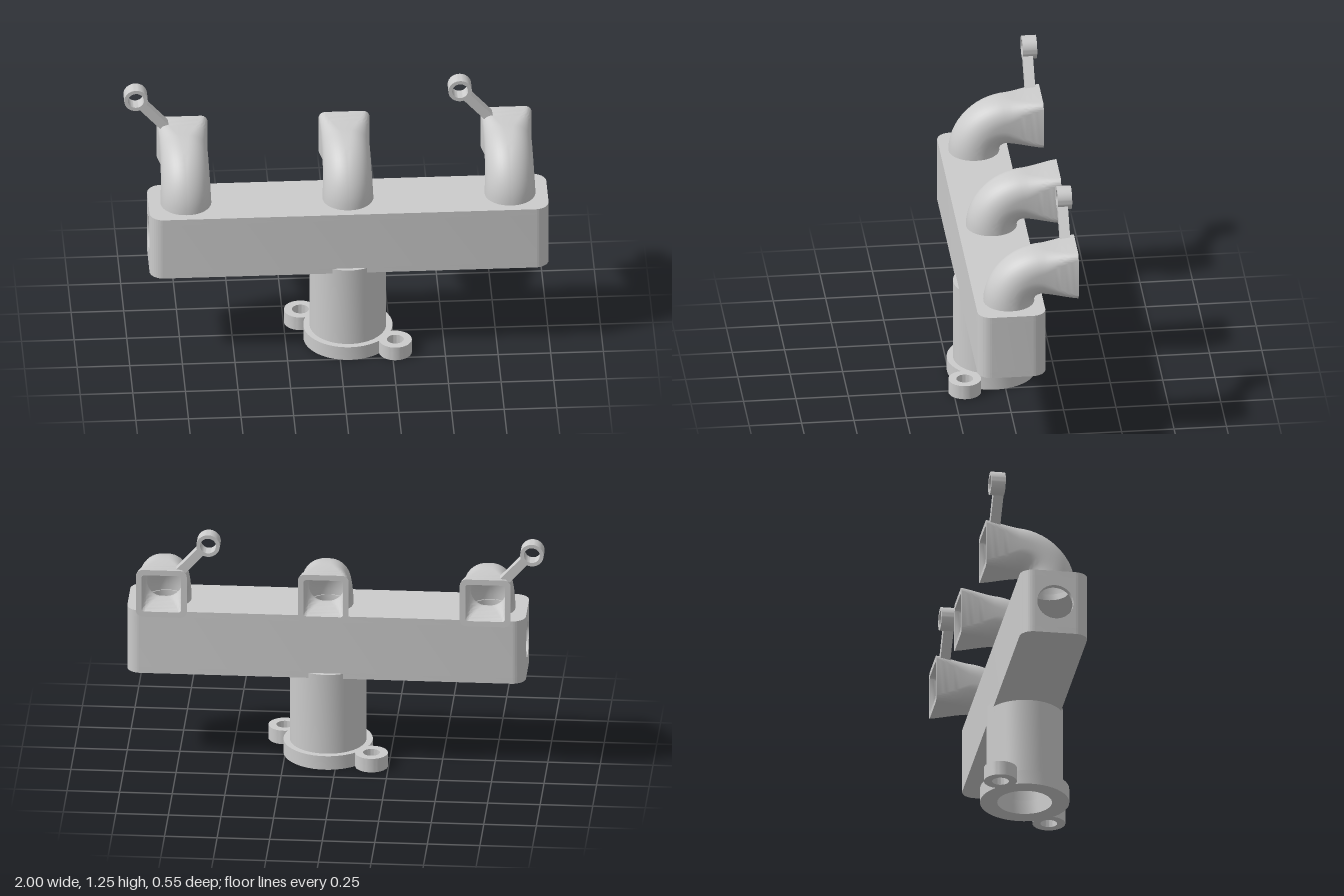
import * as THREE from 'three';
import { toCreasedNormals } from 'three/addons/utils/BufferGeometryUtils.js';

const material = new THREE.MeshStandardMaterial({ color: 0xcccccc, side: THREE.DoubleSide });
const CX = 0.048, CZ = 0.046;            // axis of the pipe and middle of the plenum
const RUNNERS = [-0.722, CX, 0.818];     // x of the three elbows
const BOTTOM = 0.452, TOP = 0.775;       // plenum heights
const WALL = 0.03;

function add(parent, name, geometry, x = 0, y = 0, z = 0) {
  const mesh = new THREE.Mesh(toCreasedNormals(geometry, 0.6), material);
  mesh.name = name;
  mesh.position.set(x, y, z);
  parent.add(mesh);
  return mesh;
}

function circle(r, x = 0, y = 0, Type = THREE.Path) {
  return new Type().absarc(x, y, r, 0, Math.PI * 2, false);
}

function extrude(shape, depth) {
  return new THREE.ExtrudeGeometry(shape, { depth, bevelEnabled: false, curveSegments: 24 });
}

// Extrude a plan upwards
const rise = (shape, height) => extrude(shape, height).rotateX(-Math.PI / 2);

function washer(outer, inner) {
  const s = circle(outer, 0, 0, THREE.Shape);
  s.holes.push(circle(inner));
  return s;
}

// Plenum: hollow box with rounded upright corners and a round port in its -x end
function buildPlenum() {
  const g = new THREE.Group();
  g.name = 'plenum';
  const hx = 0.948, hz = 0.162, r = 0.066, flat = hz - r, H = Math.PI / 2;

  const plan = () => {
    const s = new THREE.Shape();
    s.moveTo(-hx, -flat);
    s.absarc(-hx + r, -flat, r, Math.PI, Math.PI + H, false);
    s.absarc(hx - r, -flat, r, -H, 0, false);
    s.absarc(hx - r, flat, r, 0, H, false);
    s.absarc(-hx + r, flat, r, H, Math.PI, false);
    return s;
  };

  // floor and roof plates, open to the pipe and the elbows
  const floor = plan();
  floor.holes.push(circle(0.13));
  add(g, 'plenumFloor', rise(floor, WALL), CX, BOTTOM, CZ);
  const roof = plan();
  for (const x of RUNNERS) roof.holes.push(circle(0.09, x - CX, 0));
  add(g, 'plenumRoof', rise(roof, WALL), CX, TOP - WALL, CZ);

  // side wall running round the plan, open at the -x end
  const height = TOP - BOTTOM - 2 * WALL;
  const side = plan();
  const ix = hx - WALL, iz = hz - WALL;
  side.lineTo(-ix, flat);
  side.lineTo(-hx + r, iz);
  side.lineTo(ix, iz);
  side.lineTo(ix, -iz);
  side.lineTo(-hx + r, -iz);
  side.lineTo(-ix, -flat);
  add(g, 'plenumWall', rise(side, height), CX, BOTTOM + WALL, CZ);

  // end plate with the port
  const end = new THREE.Shape();
  end.moveTo(-flat, -height / 2);
  end.lineTo(flat, -height / 2);
  end.lineTo(flat, height / 2);
  end.lineTo(-flat, height / 2);
  end.holes.push(circle(0.087));
  add(g, 'endPort', extrude(end, WALL).rotateY(Math.PI / 2), CX - hx, (TOP + BOTTOM) / 2, CZ);
  return g;
}

// Elbow: quarter bend and straight outlet, round at the base and square at the mouth
function elbowGeometry() {
  const R = 0.16, arcSteps = 14, outSteps = 10, Q = 10;
  const stations = [];
  for (let i = 0; i <= arcSteps; i++) {
    const a = (i / arcSteps) * Math.PI / 2;
    stations.push({ y: TOP + R * Math.sin(a), z: CZ - R + R * Math.cos(a), ny: Math.sin(a), nz: Math.cos(a), t: 0.45 * i / arcSteps });
  }
  const z0 = CZ - R, z1 = -0.275;
  for (let i = 1; i <= outSteps; i++) {
    const k = i / outSteps;
    stations.push({ y: TOP + R, z: z0 + (z1 - z0) * k, ny: 1, nz: 0, t: 0.45 + 0.55 * k });
  }

  // section: four corner arcs whose radius shrinks towards the mouth
  const section = (s, wall) => {
    const m = THREE.MathUtils.smoothstep(s.t, 0.15, 1);
    const waist = 0.008 * Math.sin(Math.PI * s.t);
    const h = 0.121 - wall - waist;
    const c = THREE.MathUtils.lerp(h * 0.98, wall ? 0.014 : 0.032, m);
    const ring = [];
    for (let q = 0; q < 4; q++) {
      const mid = (q + 0.5) * Math.PI / 2;
      for (let j = 0; j <= Q; j++) {
        const a = (q + j / Q) * Math.PI / 2;
        const u = Math.sign(Math.cos(mid)) * (h - c) + c * Math.cos(a);
        const v = Math.sign(Math.sin(mid)) * (h - c) + c * Math.sin(a);
        ring.push([u, s.y + v * s.ny, s.z + v * s.nz]);
      }
    }
    return ring;
  };

  // outside to the mouth, over the rim, and back down the inside
  const rings = [
    ...stations.map((s) => section(s, 0)),
    ...stations.slice().reverse().map((s) => section(s, 0.027)),
  ];
  const n = rings[0].length, index = [];
  for (let i = 0; i < rings.length - 1; i++) {
    for (let j = 0; j < n; j++) {
      const a = i * n + j, b = i * n + (j + 1) % n;
      index.push(a, a + n, b, b, a + n, b + n);
    }
  }
  const geo = new THREE.BufferGeometry();
  geo.setAttribute('position', new THREE.Float32BufferAttribute(rings.flat(2), 3));
  geo.setIndex(index);
  return geo;
}

// Bracket: slanted arm ending in a ring, placed relative to its elbow
function buildBracket(x) {
  const g = new THREE.Group();
  g.name = 'bracket';
  const ring = new THREE.Vector2(-0.222, 1.19), foot = new THREE.Vector2(-0.079, 1.032);
  add(g, 'bracketRing', extrude(washer(0.056, 0.038), 0.068), x + ring.x, ring.y, -0.275);
  const dir = foot.clone().sub(ring).normalize();
  const start = ring.clone().addScaledVector(dir, 0.046);
  const mid = start.clone().add(foot).multiplyScalar(0.5);
  const arm = add(g, 'bracketArm', new THREE.BoxGeometry(start.distanceTo(foot), 0.044, 0.048),
    x + mid.x, mid.y, -0.231);
  arm.rotation.z = Math.atan2(dir.y, dir.x);
  return g;
}

export function createModel() {
  const model = new THREE.Group();
  model.name = 'manifold';

  // mounting flange with two bolt ears
  add(model, 'flange', rise(washer(0.212, 0.13), 0.07), CX, 0, CZ);
  for (const s of [1, -1]) {
    add(model, 'boltEar', rise(washer(0.078, 0.04), 0.07), CX + s * 0.217, 0, CZ + s * 0.15);
  }

  // inlet pipe, slightly wider than the plenum
  add(model, 'inletPipe', rise(washer(0.182, 0.13), 0.408), CX, 0.07, CZ);

  model.add(buildPlenum());

  // elbows, the outer two with brackets
  RUNNERS.forEach((x, i) => {
    add(model, 'elbow', elbowGeometry(), x);
    if (i !== 1) model.add(buildBracket(x));
  });
  return model;
}
